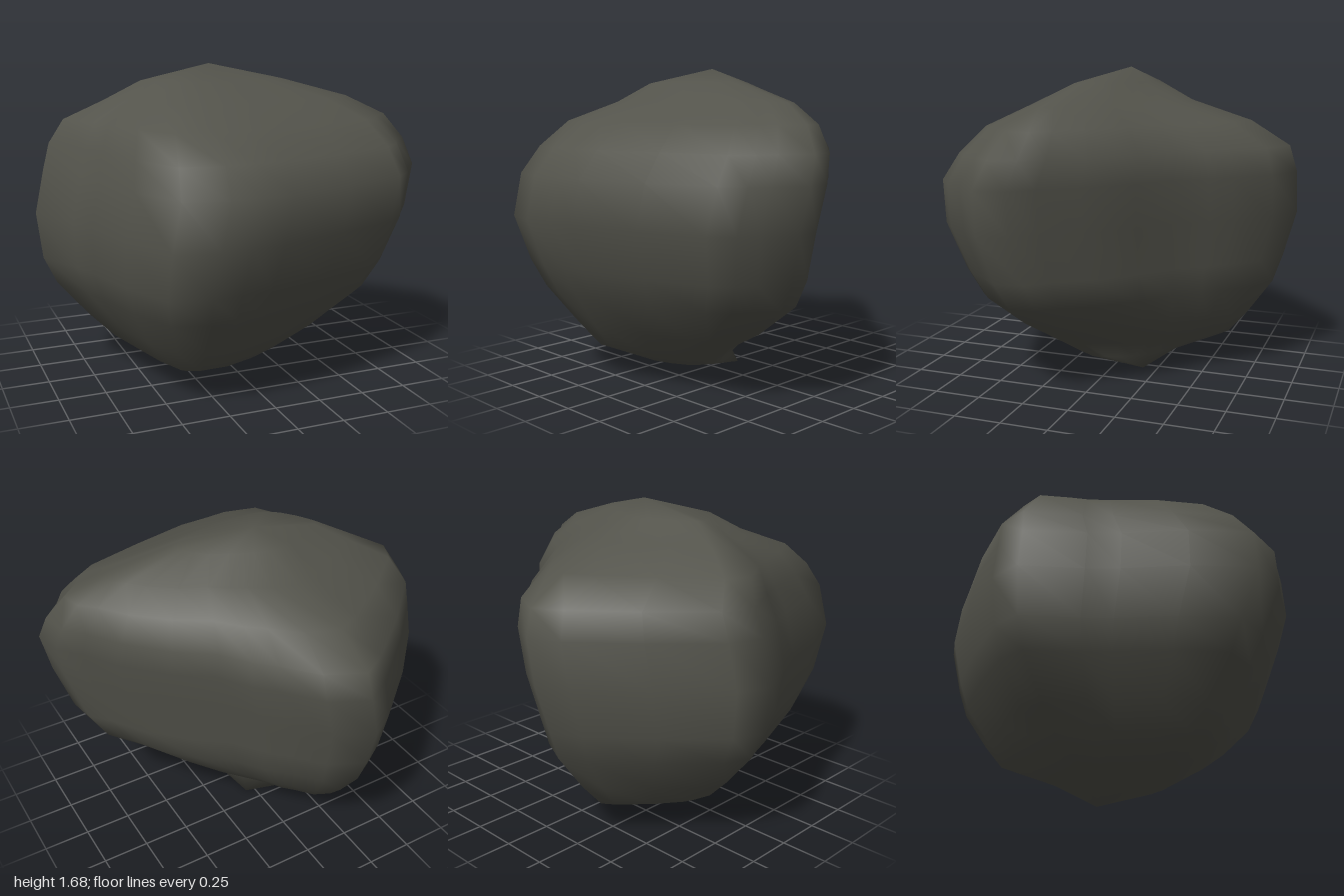
import * as THREE from 'three';

// Plan outline of the boulder as [x, z], clockwise seen from above
const outline = [
  [-0.2, -0.96], [0, -0.86], [0.15, -0.68], [0.25, -0.58], [0.36, -0.42], [0.55, -0.28],
  [0.75, -0.07], [0.87, 0.11], [0.97, 0.22], [1, 0.38], [0.88, 0.51], [0.82, 0.61],
  [0.71, 0.7], [0.35, 0.82], [-0.02, 0.93], [-0.19, 0.94], [-0.36, 0.96], [-0.58, 0.9],
  [-0.71, 0.6], [-0.8, 0.28], [-0.86, 0.12], [-1, -0.17], [-0.93, -0.34], [-0.65, -0.62], [-0.35, -0.87],
];

// Level sections: y, min x, max x, min z, max z, roundness
const levels = [
  [0.06, -0.43, 0.13, -0.31, 0.3, 0.4],
  [0.17, -0.6, 0.26, -0.59, 0.55, 0.25],
  [0.3, -0.73, 0.5, -0.7, 0.65, 0.15],
  [0.5, -0.9, 0.78, -0.84, 0.79, 0.05],
  [0.65, -0.97, 0.87, -0.89, 0.86, 0],
  [0.9, -1, 0.95, -0.96, 0.96, 0],
  [1.13, -0.95, 1, -0.96, 0.94, 0],
  [1.27, -0.91, 0.97, -0.92, 0.83, 0],
  [1.4, -0.84, 0.88, -0.71, 0.66, 0.05],
  [1.5, -0.64, 0.69, -0.4, 0.4, 0.15],
  [1.6, -0.45, 0.33, -0.2, 0.22, 0.4],
];
const bottom = [0.05, 0, -0.17];
const top = [-0.05, 1.68, -0.06];

function boulderGeometry() {
  const n = outline.length;
  const positions = [];
  const index = [];

  // Fit the outline to each level, easing it towards an ellipse near the ends
  for (const [y, x0, x1, z0, z1, round] of levels) {
    for (const [px, pz] of outline) {
      const u = px, v = pz / 0.96;
      const k = 1 + round * (1 / Math.hypot(u, v) - 1);
      positions.push(
        (x0 + x1) / 2 + u * k * (x1 - x0) / 2,
        y,
        (z0 + z1) / 2 + v * k * (z1 - z0) / 2,
      );
    }
  }
  const bottomId = levels.length * n;
  const topId = bottomId + 1;
  positions.push(...bottom, ...top);

  // Flanks, underside and crown
  const last = (levels.length - 1) * n;
  for (let j = 0; j < n; j++) {
    const next = (j + 1) % n;
    for (let i = 0; i < last; i += n) {
      const a = i + j, b = i + next, c = b + n, d = a + n;
      index.push(a, d, c, a, c, b);
    }
    index.push(j, next, bottomId);
    index.push(last + j, topId, last + next);
  }

  const geometry = new THREE.BufferGeometry();
  geometry.setAttribute('position', new THREE.Float32BufferAttribute(positions, 3));
  geometry.setIndex(index);
  geometry.computeVertexNormals();
  return geometry;
}

export function createModel() {
  const group = new THREE.Group();
  group.name = 'rock';
  const stone = new THREE.MeshStandardMaterial({ color: 0x53534b });
  stone.name = 'dark stone';
  const boulder = new THREE.Mesh(boulderGeometry(), stone);
  boulder.name = 'boulder';
  group.add(boulder);
  return group;
}
